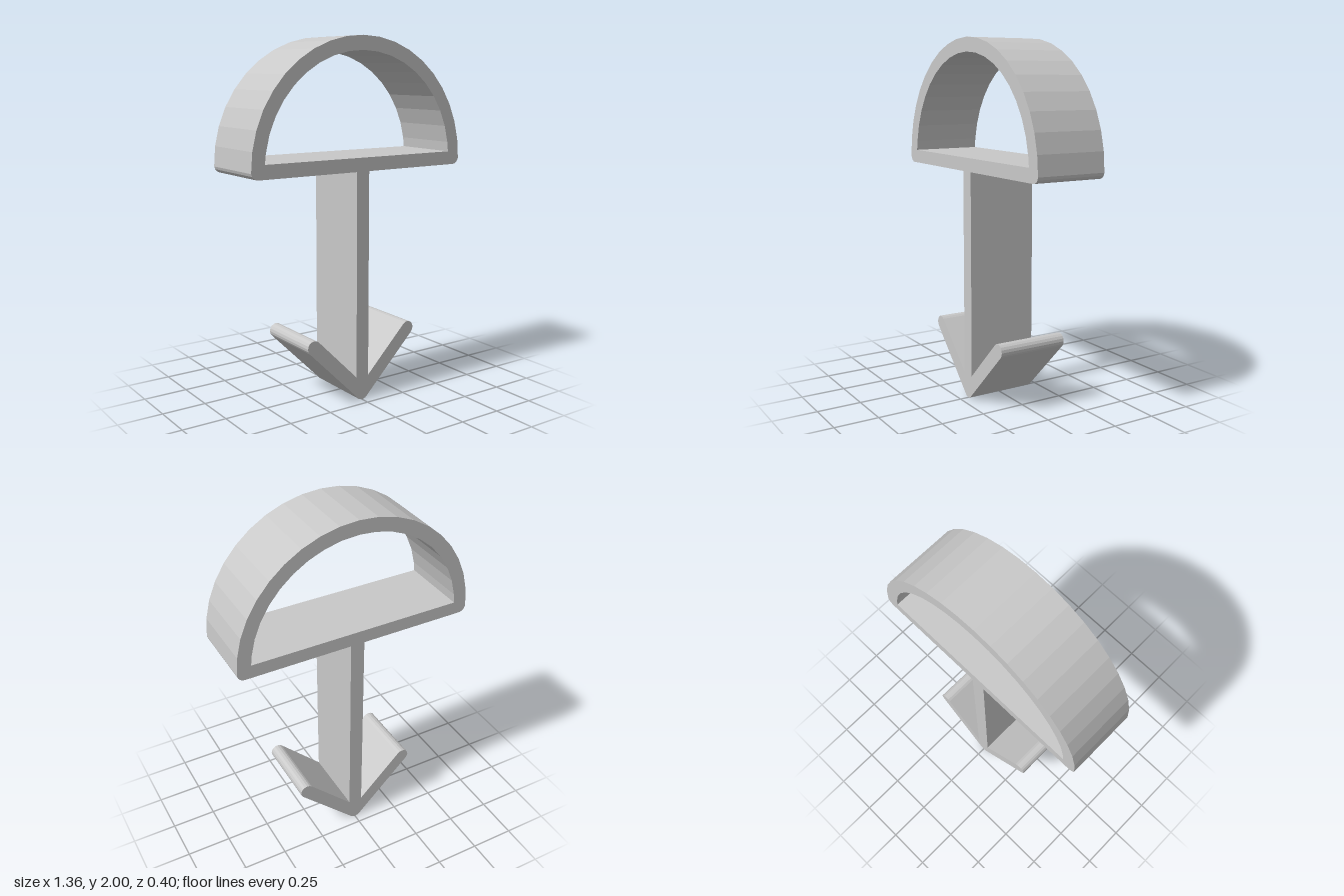
import * as THREE from 'three';

const DEPTH = 0.4;
const HALF_WALL = 0.04;
const ARCH_Y = 1.32;

// Points along an arc, angles in degrees
function arc(cx, cy, r, from, to, steps) {
  const points = [];
  for (let i = 0; i <= steps; i++) {
    const a = THREE.MathUtils.degToRad(from + ((to - from) * i) / steps);
    points.push(new THREE.Vector2(cx + r * Math.cos(a), cy + r * Math.sin(a)));
  }
  return points;
}

// Completes a half outline (+x side) with its mirror image
function mirrored(half) {
  const other = half.filter((p) => p.x > 1e-4).map((p) => new THREE.Vector2(-p.x, p.y));
  return [...half, ...other.reverse()];
}

export function createModel() {
  const grey = new THREE.MeshStandardMaterial({ color: 0xc8c8c8 });
  grey.name = 'plain grey';

  // Right half of the outline, from the bottom tip up to the crown
  const half = [
    new THREE.Vector2(0, 0),
    new THREE.Vector2(0.022, 0.007),
    // rounded end of the barb
    ...arc(0.318, 0.36, HALF_WALL, -45, 135, 8),
    // stem side
    new THREE.Vector2(HALF_WALL, 0.137),
    new THREE.Vector2(HALF_WALL, 1.285),
    // rounded lower corner of the arch
    ...arc(0.64, 1.325, HALF_WALL, -90, -10, 4),
    // outer arch
    ...arc(0, ARCH_Y, 0.68, 0, 90, 10),
  ];
  const profile = new THREE.Shape(mirrored(half));

  // Half-round opening inside the arch
  const opening = [new THREE.Vector2(0.602, 1.36), ...arc(0, ARCH_Y, 0.603, 9, 90, 9)];
  profile.holes.push(new THREE.Path(mirrored(opening)));

  // One continuous extrusion: arch, crossbar, stem and barbs
  const geometry = new THREE.ExtrudeGeometry(profile, { depth: DEPTH, bevelEnabled: false });
  geometry.translate(0, 0, -DEPTH / 2);
  const extrusion = new THREE.Mesh(geometry, grey);
  extrusion.name = 'archedAnchorStrip';

  const model = new THREE.Group();
  model.name = 'archedAnchorProfile';
  model.add(extrusion);
  return model;
}
